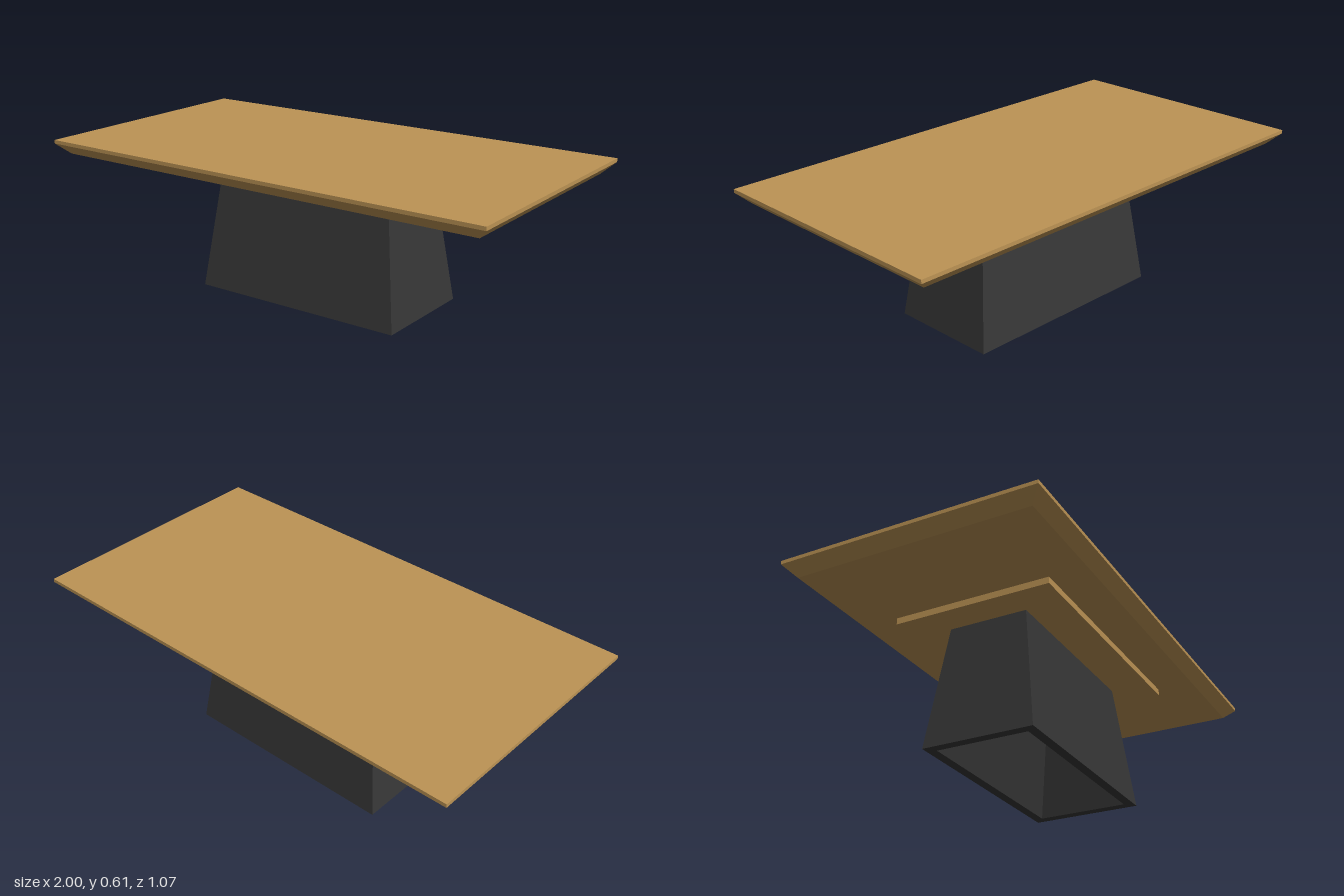
import * as THREE from 'three';

// Joins rectangular rings [halfX, y, halfZ] with flat faces; a zero-size ring closes an end.
function rectLoft(rings) {
  const corners = [[1, 1], [1, -1], [-1, -1], [-1, 1]];
  const point = ([hx, y, hz], j) => {
    const [sx, sz] = corners[j % 4];
    return [hx * sx, y, hz * sz];
  };
  const positions = [];
  for (let i = 0; i < rings.length - 1; i++) {
    const [lower, upper] = [rings[i], rings[i + 1]];
    for (let j = 0; j < 4; j++) {
      const a = point(lower, j), b = point(lower, j + 1);
      const c = point(upper, j + 1), d = point(upper, j);
      if (lower[0] > 0) positions.push(...a, ...b, ...c);
      if (upper[0] > 0) positions.push(...a, ...c, ...d);
    }
  }
  const geometry = new THREE.BufferGeometry();
  geometry.setAttribute('position', new THREE.Float32BufferAttribute(positions, 3));
  geometry.computeVertexNormals();
  return geometry;
}

export function createModel() {
  const wood = new THREE.MeshStandardMaterial({ color: 0xbd9455 });
  wood.name = 'wood';
  const charcoal = new THREE.MeshStandardMaterial({ color: 0x373737 });
  charcoal.name = 'charcoal';

  const table = new THREE.Group();
  table.name = 'table';
  const add = (name, geometry, material) => {
    const mesh = new THREE.Mesh(geometry, material);
    mesh.name = name;
    table.add(mesh);
    return mesh;
  };

  // Tabletop with a thin upright edge and a bevelled underside
  add('tabletop', rectLoft([
    [0, 0.549, 0], [0.953, 0.549, 0.487], [1, 0.594, 0.533], [1, 0.609, 0.533], [0, 0.609, 0],
  ]), wood);

  // Support plate under the top
  add('supportPlate', new THREE.BoxGeometry(1.067, 0.027, 0.667), wood).position.y = 0.5355;

  // Hollow tapered pedestal, open at the floor: inner walls, bottom rim, outer walls
  const wall = 0.04;
  add('pedestal', rectLoft([
    [0.4 - wall, 0.522, 0.167 - wall],
    [0.467 - wall, 0, 0.233 - wall],
    [0.467, 0, 0.233],
    [0.4, 0.522, 0.167],
  ]), charcoal);

  return table;
}
